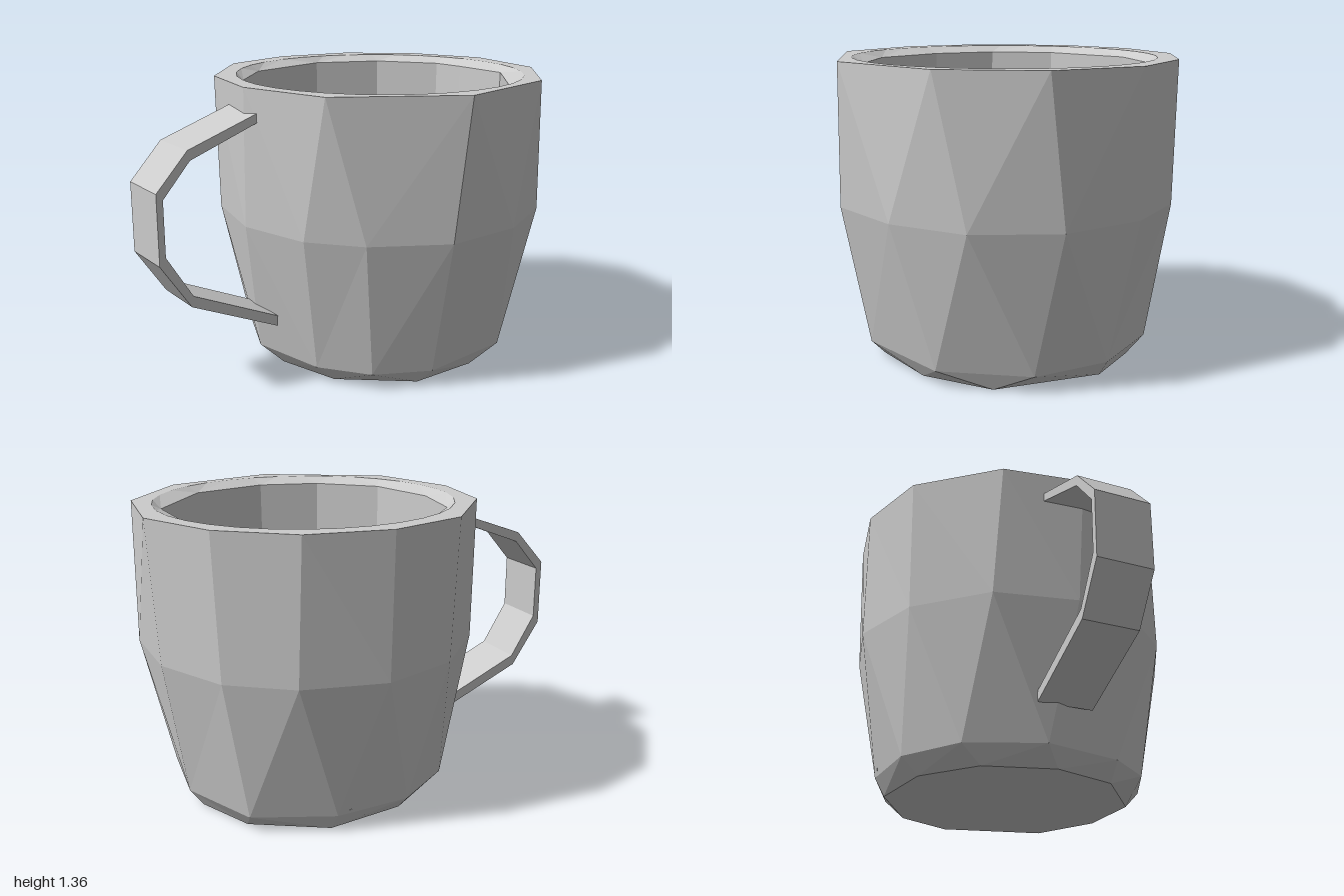
import * as THREE from 'three';

const CX = 0.23; // axis of the cup body
const material = new THREE.MeshStandardMaterial({ color: 0xcccccc, flatShading: true });

// A horizontal ring of [x, z] points at height y, sorted around the cup axis
function ring(y, points) {
  return points
    .map(([x, z]) => ({ p: [x, y, z], a: Math.atan2(z, x - CX) }))
    .sort((u, v) => u.a - v.a);
}

function circle(y, r, n) {
  return ring(y, Array.from({ length: n }, (_, i) => {
    const a = (i / n) * Math.PI * 2;
    return [CX + r * Math.cos(a), r * Math.sin(a)];
  }));
}

// Joins two rings with any number of corners by a band of triangles
function stitch(A, B, out) {
  const at = (R, i) => R[i % R.length].p;
  const angle = (R, i) => R[i % R.length].a + Math.floor(i / R.length) * Math.PI * 2;
  const middle = (R, i) => (angle(R, i) + angle(R, i + 1)) / 2;
  const na = A.length > 1 ? A.length : 0;
  const nb = B.length > 1 ? B.length : 0;
  let i = 0, j = 0;
  while (i < na || j < nb) {
    if (j >= nb || (i < na && middle(A, i) < middle(B, j))) {
      out.push(...at(A, i), ...at(B, j), ...at(A, i + 1));
      i++;
    } else {
      out.push(...at(A, i), ...at(B, j), ...at(B, j + 1));
      j++;
    }
  }
}

function bandMesh(name, rings) {
  const positions = [];
  for (let k = 0; k + 1 < rings.length; k++) stitch(rings[k], rings[k + 1], positions);
  const geometry = new THREE.BufferGeometry();
  geometry.setAttribute('position', new THREE.Float32BufferAttribute(positions, 3));
  geometry.computeVertexNormals();
  const mesh = new THREE.Mesh(geometry, material);
  mesh.name = name;
  return mesh;
}

export function createModel() {
  const group = new THREE.Group();
  group.name = 'mug';

  // Irregular faceted rings of the outer wall, from the foot up
  const foot = ring(0, [
    [0.06, 0.54], [0.39, 0.53], [0.68, 0.36], [0.8, -0.12], [0.68, -0.38],
    [0.36, -0.57], [0, -0.52], [-0.24, -0.32], [-0.33, 0], [-0.24, 0.3]]);
  const lower = ring(0.08, [
    [0.08, 0.62], [0.54, 0.56], [0.82, 0.25], [0.86, -0.11], [0.7, -0.47],
    [0.35, -0.62], [0, -0.6], [-0.27, -0.42], [-0.41, -0.08], [-0.33, 0.29], [-0.17, 0.5]]);
  const middle = ring(0.72, [
    [0.07, 0.75], [0.45, 0.72], [0.77, 0.55], [0.97, 0.22], [0.97, -0.17], [0.81, -0.5],
    [0.55, -0.69], [0.18, -0.77], [-0.17, -0.65], [-0.45, -0.36], [-0.53, 0.02],
    [-0.44, 0.36], [-0.26, 0.57]]);
  const rim = ring(1.355, [
    [0.13, 0.775], [0.66, 0.64], [0.95, 0.29], [1, -0.14], [0.83, -0.49], [0.54, -0.72],
    [0.17, -0.78], [-0.19, -0.67], [-0.48, -0.33], [-0.54, 0.05], [-0.4, 0.47]]);
  group.add(bandMesh('outerWall', [ring(0, [[CX, 0]]), foot, lower, middle, rim]));

  // Flat lip with a round edge, dipping to the faceted inner edge
  const lipCircle = circle(1.355, 0.68, 32);
  const innerPoints = [
    [0.3, -0.645], [-0.12, -0.54], [-0.33, -0.32], [-0.39, -0.02], [-0.31, 0.33],
    [-0.07, 0.55], [0.21, 0.625], [0.57, 0.53], [0.84, 0.19], [0.83, -0.1],
    [0.81, -0.26], [0.61, -0.52]];
  const innerEdge = ring(1.325, innerPoints);
  group.add(bandMesh('lip', [rim, lipCircle, innerEdge]));

  // Inner wall and floor of the cup
  const floorEdge = ring(0.1, innerPoints.map(([x, z]) => [CX + (x - CX) * 0.97, z * 0.97]));
  group.add(bandMesh('innerWall', [innerEdge, floorEdge, ring(0.1, [[CX, 0]])]));

  // Flat strap handle
  const outline = [
    [-0.48, 1.262], [-0.85, 1.13], [-1, 0.965], [-1, 0.65], [-0.86, 0.44], [-0.43, 0.25],
    [-0.43, 0.3], [-0.85, 0.488], [-0.97, 0.685], [-0.97, 0.935], [-0.84, 1.085], [-0.48, 1.222]];
  const shape = new THREE.Shape(outline.map(([x, y]) => new THREE.Vector2(x, y)));
  const strap = new THREE.ExtrudeGeometry(shape, { depth: 0.26, bevelEnabled: false });
  strap.translate(0, 0, -0.14);
  const handle = new THREE.Mesh(strap, material);
  handle.name = 'handle';
  group.add(handle);

  return group;
}
